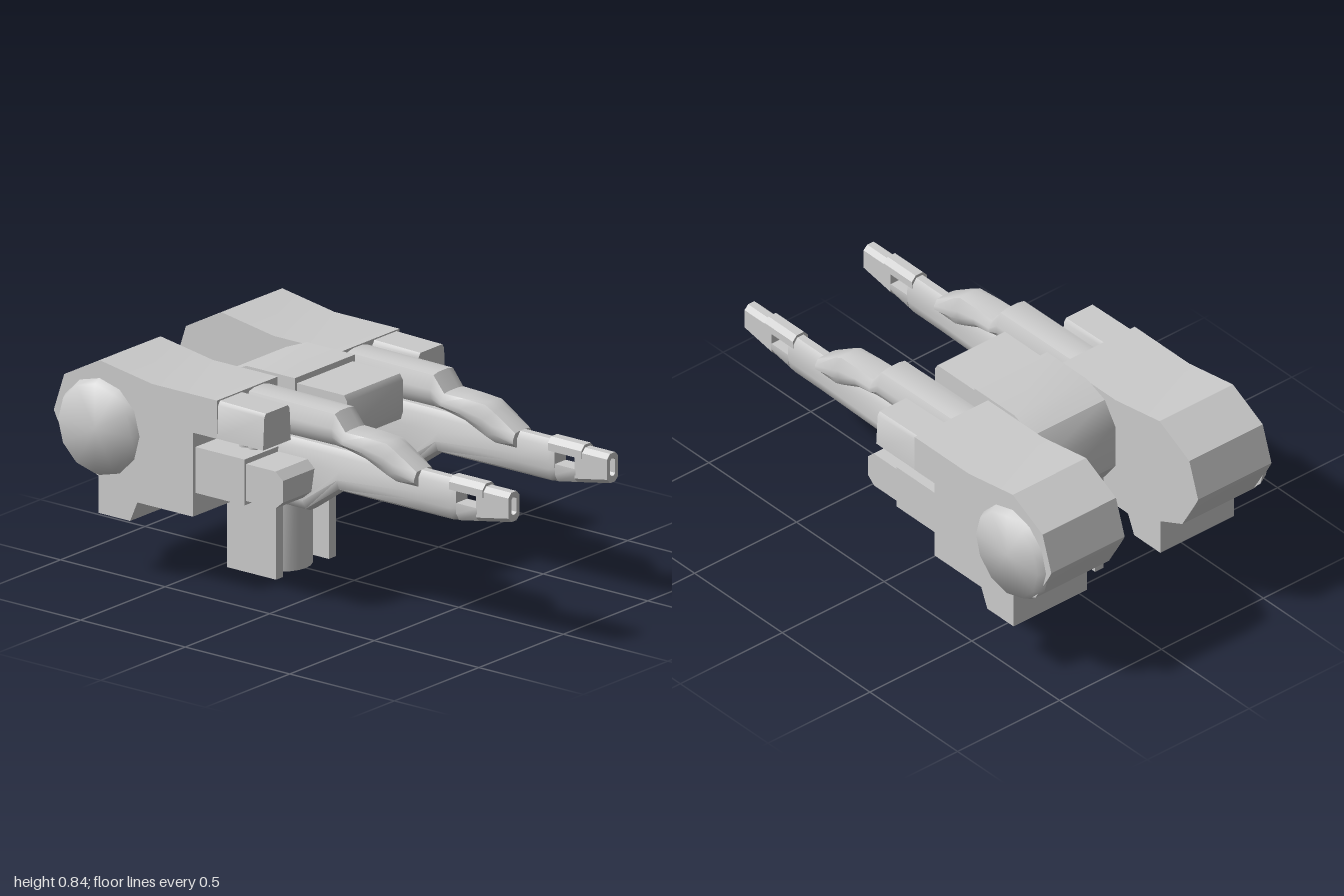
import * as THREE from 'three';
import { toCreasedNormals } from 'three/addons/utils/BufferGeometryUtils.js';

const material = new THREE.MeshStandardMaterial({ color: 0xcccccc });

function add(group, name, geometry, crease = 0.6) {
  const mesh = new THREE.Mesh(toCreasedNormals(geometry, crease), material);
  mesh.name = name;
  group.add(mesh);
}

// Box given by its limits; s mirrors it in z
function box(x0, x1, y0, y1, z0, z1, s = 1) {
  return new THREE.BoxGeometry(x1 - x0, y1 - y0, z1 - z0)
    .translate((x0 + x1) / 2, (y0 + y1) / 2, s * (z0 + z1) / 2);
}

// Side profile in x, y extruded from z0 to z1; s mirrors it in z
function prism(points, z0, z1, s = 1) {
  const shape = new THREE.Shape(points.map(([x, y]) => new THREE.Vector2(x, y)));
  return new THREE.ExtrudeGeometry(shape, { depth: z1 - z0, bevelEnabled: false })
    .translate(0, 0, Math.min(s * z0, s * z1));
}

// Skin along x; each section is [x, half outline of [half width, y] from top to bottom]
function loft(sections, cz) {
  const positions = [], index = [];
  const n = sections[0][1].length * 2;
  for (const [x, half] of sections) {
    for (const [w, y] of half) positions.push(x, y, cz + w);
    for (const [w, y] of [...half].reverse()) positions.push(x, y, cz - w);
  }
  for (let k = 0; k < sections.length - 1; k++) {
    for (let i = 0; i < n; i++) {
      const a = k * n + i, b = k * n + (i + 1) % n;
      index.push(a, b, a + n, b, b + n, a + n);
    }
  }
  const last = (sections.length - 1) * n;
  for (let i = 1; i < n - 1; i++) {
    index.push(0, i + 1, i, last, last + i, last + i + 1);
  }
  const geometry = new THREE.BufferGeometry();
  geometry.setAttribute('position', new THREE.Float32BufferAttribute(positions, 3));
  geometry.setIndex(index);
  return geometry;
}

// Chamfered outline between two heights
const chamfered = (top, bottom, w, c) => [
  [w - c, top], [w, top - c], [w, bottom + c], [w - c, bottom],
];

// Keel outline: slim on top, flaring to width w near the bottom
const keel = (bottom, w) => [
  [0.015, 0.635], [0.033, 0.61], [0.034, 0.55],
  [w, bottom + 0.05], [w * 0.75, bottom + 0.012], [w * 0.3, bottom],
];

// Tube outline with bevelled top and narrower underside
const tube = (top, bottom, w) => {
  const h = top - bottom;
  return [[w * 0.35, top], [w * 0.75, top - h * 0.05], [w, top - h * 0.45],
    [w, top - h * 0.7], [w * 0.65, bottom]];
};

function makeGun(s) {
  const gun = new THREE.Group();
  gun.name = s > 0 ? 'leftGun' : 'rightGun';
  const cz = s * 0.292;

  // Rear housing with a round cheek on its outer side
  add(gun, 'housing', prism([
    [-1, 0.6], [-0.985, 0.57], [-0.91, 0.44], [-0.785, 0.385], [-0.785, 0.24],
    [-0.635, 0.24], [-0.6, 0.32], [-0.335, 0.32], [-0.335, 0.65], [-0.22, 0.65],
    [-0.22, 0.8], [-0.53, 0.8], [-0.78, 0.84], [-0.95, 0.75],
  ], 0.18, 0.54, s));
  const cheek = new THREE.CylinderGeometry(s > 0 ? 0.175 : 0.195, s > 0 ? 0.195 : 0.175, 0.04, 12)
    .rotateX(Math.PI / 2).translate(-0.78, 0.58, s * 0.55);
  add(gun, 'cheek', cheek, 1.2);

  // Outer boxes beside the barrels and the post joining them
  add(gun, 'upperBox', loft([
    [-0.23, [[0.065, 0.795], [0.075, 0.78], [0.082, 0.65]]],
    [0, [[0.065, 0.79], [0.075, 0.775], [0.082, 0.65]]],
  ], s * 0.457));
  add(gun, 'lowerBox', box(-0.34, -0.1, 0.41, 0.59, 0.3, 0.525, s));
  add(gun, 'lowerBoxNose', prism([
    [-0.11, 0.425], [0.04, 0.425], [0.075, 0.455], [0.075, 0.54], [0.04, 0.57], [-0.11, 0.57],
  ], 0.32, 0.515, s));
  for (const x of [-0.2, -0.155]) {
    add(gun, 'post', new THREE.CylinderGeometry(0.022, 0.022, 0.08, 10)
      .translate(x, 0.62, s * 0.4), 1);
  }

  // Upper barrel, bending down onto the lower one
  add(gun, 'upperBarrel', loft([
    [-0.23, tube(0.795, 0.655, 0.077)], [0.19, tube(0.79, 0.66, 0.077)],
    [0.24, tube(0.725, 0.655, 0.075)], [0.33, tube(0.725, 0.635, 0.07)],
    [0.43, tube(0.722, 0.59, 0.065)], [0.47, tube(0.7, 0.575, 0.062)],
    [0.57, tube(0.635, 0.575, 0.058)],
  ], cz), 0.8);

  // Lower barrel, ending at the slot
  add(gun, 'lowerBarrel', loft([
    [-0.34, keel(0.365, 0.062)], [0.04, keel(0.365, 0.062)], [0.19, keel(0.47, 0.045)],
    [0.57, keel(0.47, 0.034)], [0.72, keel(0.47, 0.033)], [0.75, keel(0.475, 0.033)],
  ], cz), 0.8);

  // Rails above and below the slot
  add(gun, 'topRail', loft([0.75, 0.85].map(
    (x) => [x, [[0.015, 0.635], [0.033, 0.615], [0.033, 0.595]]]), cz));
  add(gun, 'bottomRail', loft([[0.75, 0.475], [0.85, 0.493]].map(
    ([x, y]) => [x, [[0.033, 0.547], [0.033, y + 0.03], [0.015, y]]]), cz));
  add(gun, 'barrelSleeve', loft([0.72, 0.88].map(
    (x) => [x, [[0.018, 0.646], [0.037, 0.625], [0.037, 0.595]]]), cz));

  // Hollow muzzle: outside, rim, bore
  add(gun, 'muzzle', loft([
    [0.845, chamfered(0.635, 0.492, 0.033, 0.018)], [1, chamfered(0.635, 0.52, 0.033, 0.018)],
    [1, chamfered(0.615, 0.545, 0.015, 0.008)], [0.88, chamfered(0.615, 0.545, 0.015, 0.008)],
  ], cz));
  return gun;
}

export function createModel() {
  const model = new THREE.Group();
  model.name = 'twinGunTurret';
  for (const s of [1, -1]) model.add(makeGun(s));

  // Central body between the guns
  add(model, 'centerBody', prism([
    [-0.47, 0.42], [-0.2, 0.42], [-0.14, 0.5], [-0.14, 0.81], [-0.37, 0.81],
    [-0.47, 0.77], [-0.53, 0.68], [-0.53, 0.5],
  ], -0.178, 0.178));
  add(model, 'frontBox', prism([
    [-0.16, 0.61], [0.09, 0.61], [0.1, 0.64], [0.1, 0.765], [0.085, 0.787], [-0.16, 0.787],
  ], -0.165, 0.165), 0.9);
  add(model, 'undersideWedge', prism([
    [-0.4, 0.43], [-0.17, 0.44], [0.01, 0.57], [0.01, 0.63], [-0.4, 0.63],
  ], -0.125, 0.125));

  // Pedestal column and the plates on either side
  add(model, 'column', new THREE.CylinderGeometry(0.115, 0.115, 0.45, 20)
    .translate(-0.345, 0.225, 0));
  for (const s of [1, -1]) {
    add(model, 'sidePlate', box(-0.465, -0.23, 0, 0.44, 0.135, 0.177, s));
  }
  return model;
}
